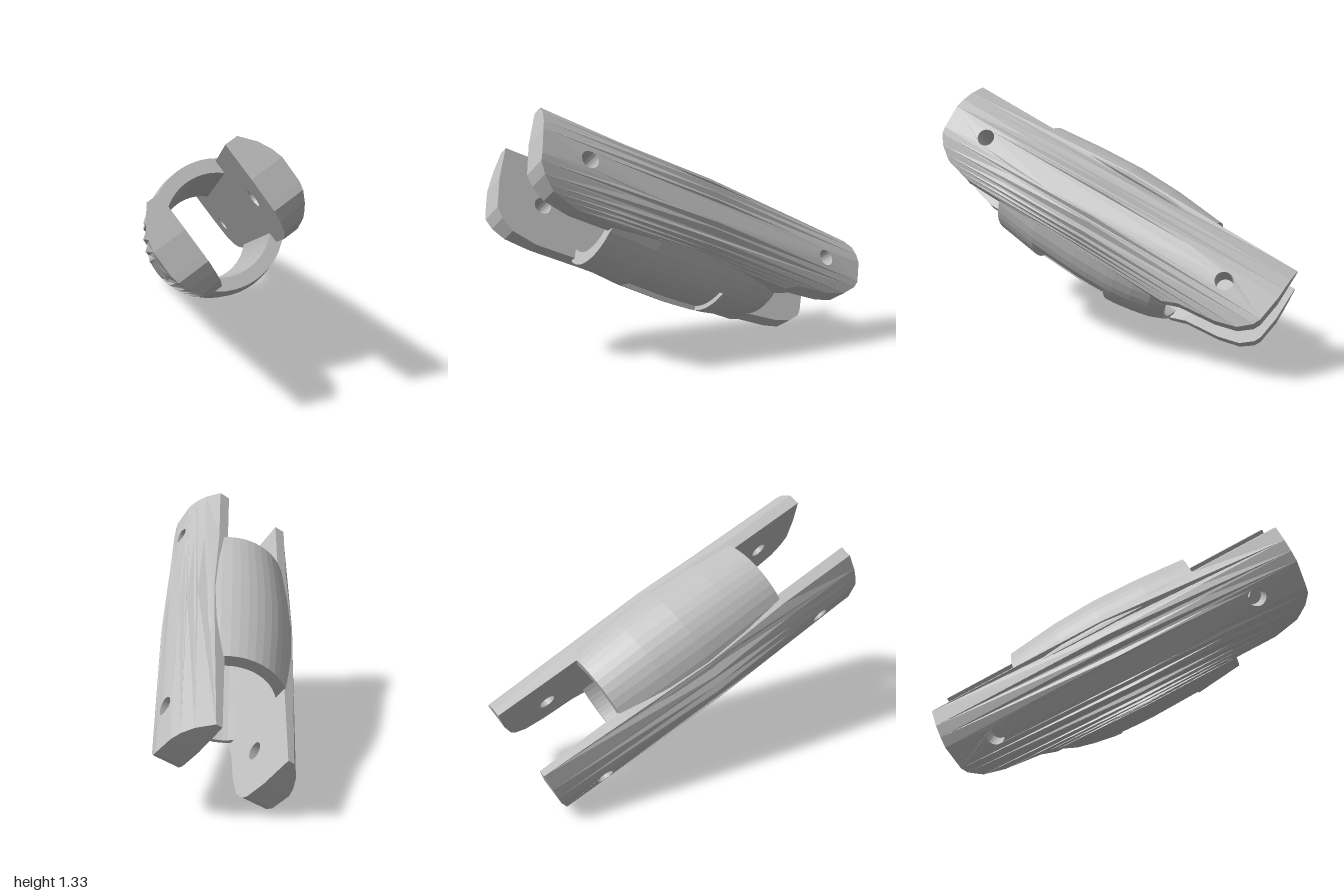
import * as THREE from 'three';
import { mergeGeometries } from 'three/addons/utils/BufferGeometryUtils.js';

// Local frame: x across the fork, y across each cheek, z along the axis.
const INNER = 0.175, BORE = 0.25;

// Piecewise linear lookup in a list of [key, value] pairs.
function lookup(table, k) {
  if (k <= table[0][0]) return table[0][1];
  for (let i = 1; i < table.length; i++) {
    const [a, va] = table[i - 1], [b, vb] = table[i];
    if (k <= b) return va + (vb - va) * (k - a) / (b - a);
  }
  return table[table.length - 1][1];
}

function geometryFrom(positions, index) {
  const g = new THREE.BufferGeometry();
  g.setAttribute('position', new THREE.Float32BufferAttribute(positions, 3));
  g.setIndex(index);
  g.computeVertexNormals();
  return g;
}

// Cheek outline: the ends as functions of the width, and the outer radius along the axis.
const frontEnd = [[-0.23, 0.77], [-0.2, 0.9], [-0.15, 0.965], [-0.1, 1.0], [0.05, 1.02], [0.25, 1.02]];
const backEnd = [[-0.23, -0.47], [-0.2, -0.55], [-0.18, -0.74], [-0.15, -0.85], [-0.1, -0.91], [-0.03, -0.945], [0.25, -0.945]];
const cheekRadius = [[-0.945, 0.325], [-0.6, 0.335], [0.04, 0.354], [0.6, 0.34], [1.02, 0.345]];
const widths = [-0.23, -0.215, -0.2, -0.18, -0.15, -0.1, -0.065, 0.065, 0.12, 0.18, 0.25];
const stations = [-0.45, -0.2, 0.04, 0.3, 0.55];
const outer = (w, l) => Math.sqrt(lookup(cheekRadius, l) ** 2 - w * w);

function cheekGeometry() {
  const parts = [];
  const holes = [-0.69, 0.77].map(l => new THREE.Path().absarc(0, l, 0.045, 0, Math.PI * 2, true));
  // Lay a flat shape (width, length) onto the inner or outer face.
  const sheet = (shape, depth, flip) => {
    const g = new THREE.ShapeGeometry(shape, 10);
    const p = g.attributes.position, pos = [];
    for (let i = 0; i < p.count; i++) pos.push(depth(p.getX(i), p.getY(i)), p.getX(i), p.getY(i));
    const index = Array.from(g.index.array);
    parts.push(geometryFrom(pos, flip ? index.reverse() : index));
  };
  // Wall from the inner to the outer face along a closed line.
  const wall = pts => {
    const pos = [], index = [], n = pts.length;
    pts.forEach((p, i) => {
      pos.push(INNER, p.x, p.y, outer(p.x, p.y), p.x, p.y);
      const a = 2 * i, b = 2 * ((i + 1) % n);
      index.push(a, b, b + 1, a, b + 1, a + 1);
    });
    parts.push(geometryFrom(pos, index));
  };
  const v = (x, y) => new THREE.Vector2(x, y);

  const outline = [
    ...widths.map(w => v(w, lookup(backEnd, w))),
    ...stations.map(l => v(0.25, l)),
    ...[...widths].reverse().map(w => v(w, lookup(frontEnd, w))),
    ...[...stations].reverse().map(l => v(-0.23, l)),
  ];
  const full = new THREE.Shape(outline);
  full.holes = holes;
  sheet(full, () => INNER, true);
  wall(outline);
  holes.forEach(h => wall(h.getPoints(10).slice(0, -1)));

  // Curved outer face in lengthwise strips
  for (let i = 0; i < widths.length - 1; i++) {
    const a = widths[i], b = widths[i + 1];
    const strip = new THREE.Shape([
      v(a, lookup(backEnd, a)), v(b, lookup(backEnd, b)),
      ...stations.map(l => v(b, l)),
      v(b, lookup(frontEnd, b)), v(a, lookup(frontEnd, a)),
      ...[...stations].reverse().map(l => v(a, l)),
    ]);
    if (a < 0 && b > 0) strip.holes = holes;
    sheet(strip, outer, false);
  }
  return mergeGeometries(parts);
}

// Arched shell joining the cheeks, lofted from cross-section loops.
function shellGeometry(radii, recessed) {
  const deg = Math.PI / 180;
  const half = [57, 48, 39, 30, 22.6, 22.4, 15, 7.5];
  const angles = [...half.map(a => -a), 0, ...[...half].reverse()];
  const zs = [-0.475, -0.4, -0.3, -0.2, -0.157, -0.154, -0.05, 0.04, 0.17, 0.299, 0.302, 0.43, 0.555];
  const n = angles.length, m = 2 * n, pos = [], index = [];
  const innerMax = Math.asin(INNER / BORE);
  for (const z of zs) {
    const R = lookup(radii, z);
    const limit = Math.atan2(Math.max(0.18, Math.sqrt(Math.max(0, R * R - 0.22 ** 2))), 0.22);
    const limitSafe = Math.max(limit, Math.asin(0.18 / R));
    for (const a of angles) {
      const inRecess = recessed && Math.abs(a) < 22.5 && z > -0.155 && z < 0.3;
      const r = inRecess ? R - 0.024 : R;
      const t = THREE.MathUtils.clamp(a * deg, -limitSafe, limitSafe);
      pos.push(r * Math.sin(t), r * Math.cos(t), z);
    }
    for (const a of [...angles].reverse()) {
      const t = a / 57 * innerMax;
      pos.push(BORE * Math.sin(t), BORE * Math.cos(t), z);
    }
  }
  for (let j = 0; j < zs.length - 1; j++) {
    for (let i = 0; i < m; i++) {
      const a = j * m + i, b = j * m + (i + 1) % m, c = a + m, d = b + m;
      index.push(a, c, b, b, c, d);
    }
  }
  // End faces
  const last = (zs.length - 1) * m;
  for (let i = 0; i < n - 1; i++) {
    const o = i, p = i + 1, q = m - 1 - i, s = m - 2 - i;
    index.push(o, p, q, p, s, q);
    index.push(last + o, last + q, last + p, last + p, last + q, last + s);
  }
  return geometryFrom(pos, index);
}

export function createModel() {
  const grey = new THREE.MeshStandardMaterial({ color: 0xbfbfbf, flatShading: true, side: THREE.DoubleSide });
  grey.name = 'light grey';
  const model = new THREE.Group();
  model.name = 'forkedCoupling';

  const roll = new THREE.Group();
  roll.name = 'coupling';
  roll.rotation.z = 35 * Math.PI / 180;
  const add = (name, geometry, sx, sy) => {
    const mesh = new THREE.Mesh(geometry, grey);
    mesh.name = name;
    mesh.scale.set(sx, sy, 1);
    roll.add(mesh);
  };

  // Two long cheeks with pin holes at both ends
  const cheek = cheekGeometry();
  add('leftCheek', cheek, 1, 1);
  add('rightCheek', cheek, -1, 1);

  // Upper and lower halves of the barrel; the lower one has a shallow recess
  add('upperShell', shellGeometry([[-0.475, 0.31], [-0.2, 0.34], [0.04, 0.35], [0.3, 0.34], [0.555, 0.32]], false), 1, 1);
  add('lowerShell', shellGeometry([[-0.475, 0.268], [-0.4, 0.3], [-0.25, 0.335], [-0.1, 0.348], [0.04, 0.35], [0.3, 0.343], [0.555, 0.315]], true), 1, -1);

  const tilt = new THREE.Group();
  tilt.name = 'tiltedBody';
  tilt.rotation.x = -23.7 * Math.PI / 180;
  tilt.position.y = 0.58;
  tilt.add(roll);
  model.add(tilt);
  return model;
}
